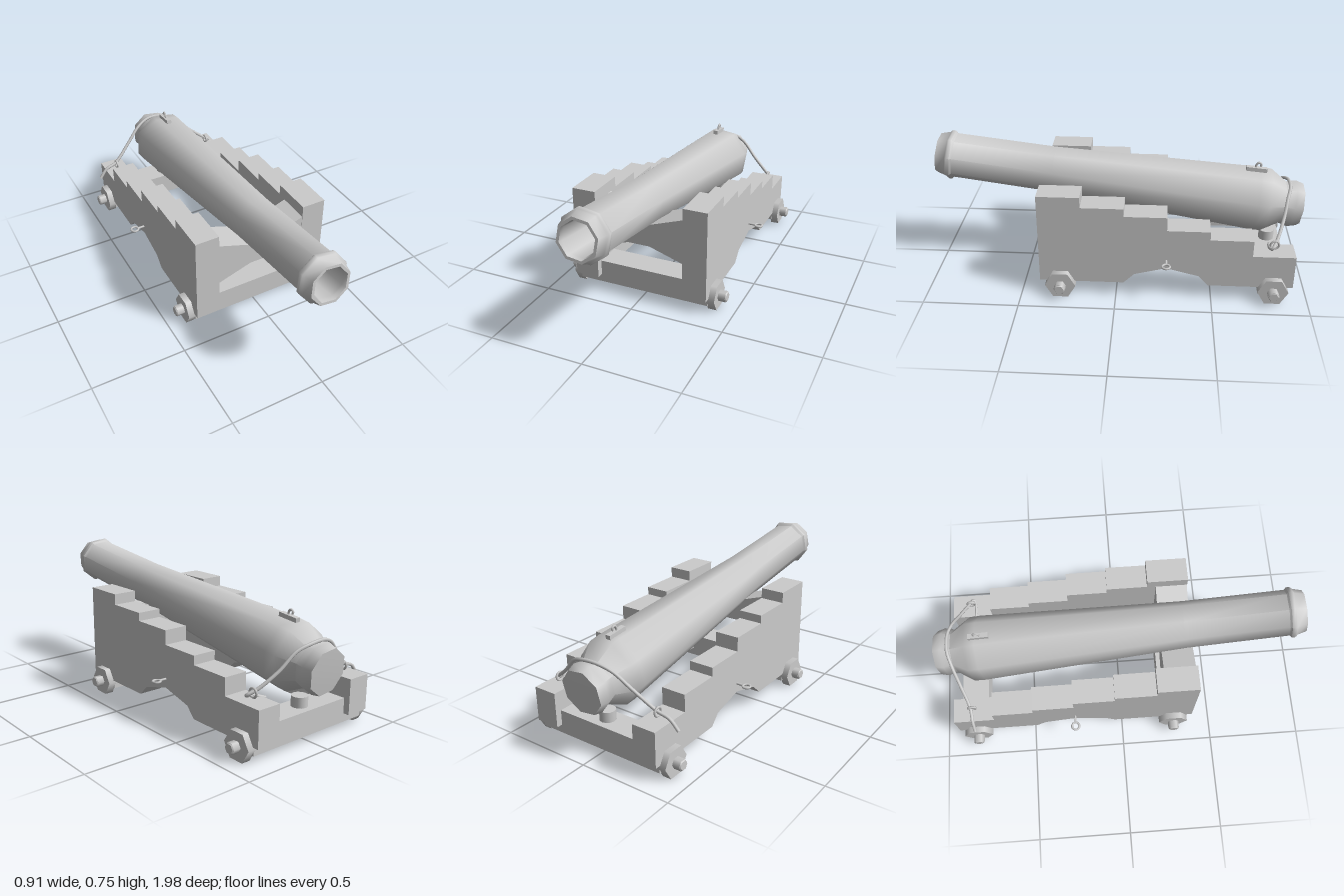
import * as THREE from 'three';
import { toCreasedNormals } from 'three/addons/utils/BufferGeometryUtils.js';

const mat = new THREE.MeshStandardMaterial({ color: 0xcccccc });

export function createModel() {
  const root = new THREE.Group();
  root.name = 'cannon';

  const add = (name, geo, x = 0, y = 0, z = 0, parent = root) => {
    const mesh = new THREE.Mesh(geo, mat);
    mesh.name = name;
    mesh.position.set(x, y, z);
    parent.add(mesh);
    return mesh;
  };
  const shape = (pts) => new THREE.Shape(pts.map(([x, y]) => new THREE.Vector2(x, y)));
  const extrude = (pts, depth) => new THREE.ExtrudeGeometry(shape(pts), { depth, bevelEnabled: false });
  const tube = (pts, r, n, sides = 6) => new THREE.TubeGeometry(
    new THREE.CatmullRomCurve3(pts.map((p) => new THREE.Vector3(...p))), n, r, sides);

  // Barrel: eight-sided turned profile (radius, distance along axis), hollow bore
  const profile = [
    [0, -0.99], [0.118, -0.985], [0.13, -0.94], [0.117, -0.89], [0.174, -0.80], [0.176, -0.74],
    [0.125, 0.36], [0.121, 0.895], [0.132, 0.905], [0.134, 0.92], [0.129, 0.93],
    [0.122, 0.935], [0.108, 0.985], [0.093, 0.985], [0.088, 0.96], [0.084, -0.5], [0, -0.5],
  ].map(([r, s]) => new THREE.Vector2(r, s));
  const barrelGeo = new THREE.LatheGeometry(profile, 8, THREE.MathUtils.degToRad(15));
  barrelGeo.rotateX(Math.PI / 2);
  const barrel = add('barrel', toCreasedNormals(barrelGeo, 0.95), 0, 0.51, 0);
  barrel.rotation.x = -THREE.MathUtils.degToRad(7.5);

  // Firing lock on top of the breech
  const lock = add('lockPlate', new THREE.BoxGeometry(0.027, 0.022, 0.11), 0, 0.59, -0.73);
  lock.rotation.x = -0.1;
  add('lockHook', tube([[0, 0.59, -0.725], [0, 0.61, -0.725], [0, 0.627, -0.737],
    [0, 0.62, -0.752], [0, 0.606, -0.75]], 0.006, 12));

  // Stepped side cheeks with an arched underside (z, y)
  const cheek = [
    [0.4, 0.09], [0.4, 0.587], [0.18, 0.587], [0.18, 0.53], [-0.04, 0.53], [-0.04, 0.487],
    [-0.26, 0.487], [-0.26, 0.412], [-0.48, 0.412], [-0.48, 0.365], [-0.7, 0.365], [-0.7, 0.275],
    [-0.92, 0.275], [-0.92, 0.09], [-0.48, 0.09], [-0.43, 0.145], [-0.26, 0.188],
    [-0.096, 0.145], [-0.04, 0.09],
  ];
  const cheekGeo = extrude(cheek.map(([z, y]) => [-z, y]), 0.13);
  cheekGeo.rotateY(Math.PI / 2);
  add('leftCheek', cheekGeo, 0.243);
  add('rightCheek', cheekGeo, -0.373);

  // Waisted cross beam under the barrel
  const half = [[0.245, 0.28], [0.245, 0.525], [0.06, 0.462]];
  add('crossBeam', extrude([
    [0.06, 0.34], ...half, ...half.map(([x, y]) => [-x, y]).reverse(), [-0.06, 0.34],
  ], 0.17), 0, 0, 0.228);

  // Axle beams, hexagonal wheels and tapered axle ends
  for (const [end, z] of [['front', 0.29], ['rear', -0.815]]) {
    add(end + 'AxleBeam', new THREE.BoxGeometry(0.735, 0.126, 0.145), 0, 0.108, z);
    for (const s of [-1, 1]) {
      const wheel = new THREE.Group();
      wheel.name = end + (s > 0 ? 'Left' : 'Right') + 'Wheel';
      wheel.position.set(s * 0.383, 0.08, z);
      wheel.rotation.set(Math.PI / 2, 0, -s * Math.PI / 2);
      const turn = Math.PI / 2;
      add('wheelDisc', new THREE.CylinderGeometry(0.08, 0.08, 0.046, 6, 1, false, turn), 0, 0, 0, wheel);
      add('axleEnd', new THREE.CylinderGeometry(0.03, 0.03, 0.06, 6, 1, false, turn), 0, 0.032, 0, wheel);
      add('axleTip', new THREE.CylinderGeometry(0.025, 0.03, 0.007, 6, 1, false, turn), 0, 0.0645, 0, wheel);
      wheel.rotation.set(0, 0, -s * Math.PI / 2);
      wheel.children.forEach((c) => { c.rotation.y = Math.PI / 2; });
      root.add(wheel);
    }
  }

  // Block that supports the breech
  add('breechSupport', new THREE.CylinderGeometry(0.042, 0.042, 0.06, 12), 0, 0.195, -0.815);

  for (const s of [-1, 1]) {
    // Side eye bolts
    const side = s > 0 ? 'left' : 'right';
    const eye = new THREE.TorusGeometry(0.02, 0.006, 6, 14);
    eye.rotateX(Math.PI / 2);
    add(side + 'EyeBoltRing', eye, s * 0.43, 0.235, -0.26);
    const shank = new THREE.CylinderGeometry(0.006, 0.006, 0.05, 6);
    shank.rotateZ(Math.PI / 2);
    add(side + 'EyeBoltShank', shank, s * 0.388, 0.235, -0.26);
    // Rope ring on the rear step of each cheek
    const ring = new THREE.TorusGeometry(0.022, 0.006, 6, 12);
    ring.rotateY(Math.PI / 2);
    add(side + 'RopeRing', ring, s * 0.308, 0.31, -0.815);
  }

  // Breeching rope over the neck of the breech
  add('breechRope', tube([
    [-0.42, 0.245, -0.81], [-0.375, 0.295, -0.815], [-0.31, 0.318, -0.822], [-0.2, 0.41, -0.86],
    [-0.115, 0.485, -0.89], [-0.04, 0.513, -0.91], [0.05, 0.508, -0.91], [0.12, 0.48, -0.89],
    [0.2, 0.4, -0.865], [0.295, 0.325, -0.825], [0.335, 0.3, -0.8], [0.29, 0.288, -0.79],
    [0.215, 0.26, -0.8],
  ], 0.009, 60));

  return root;
}
